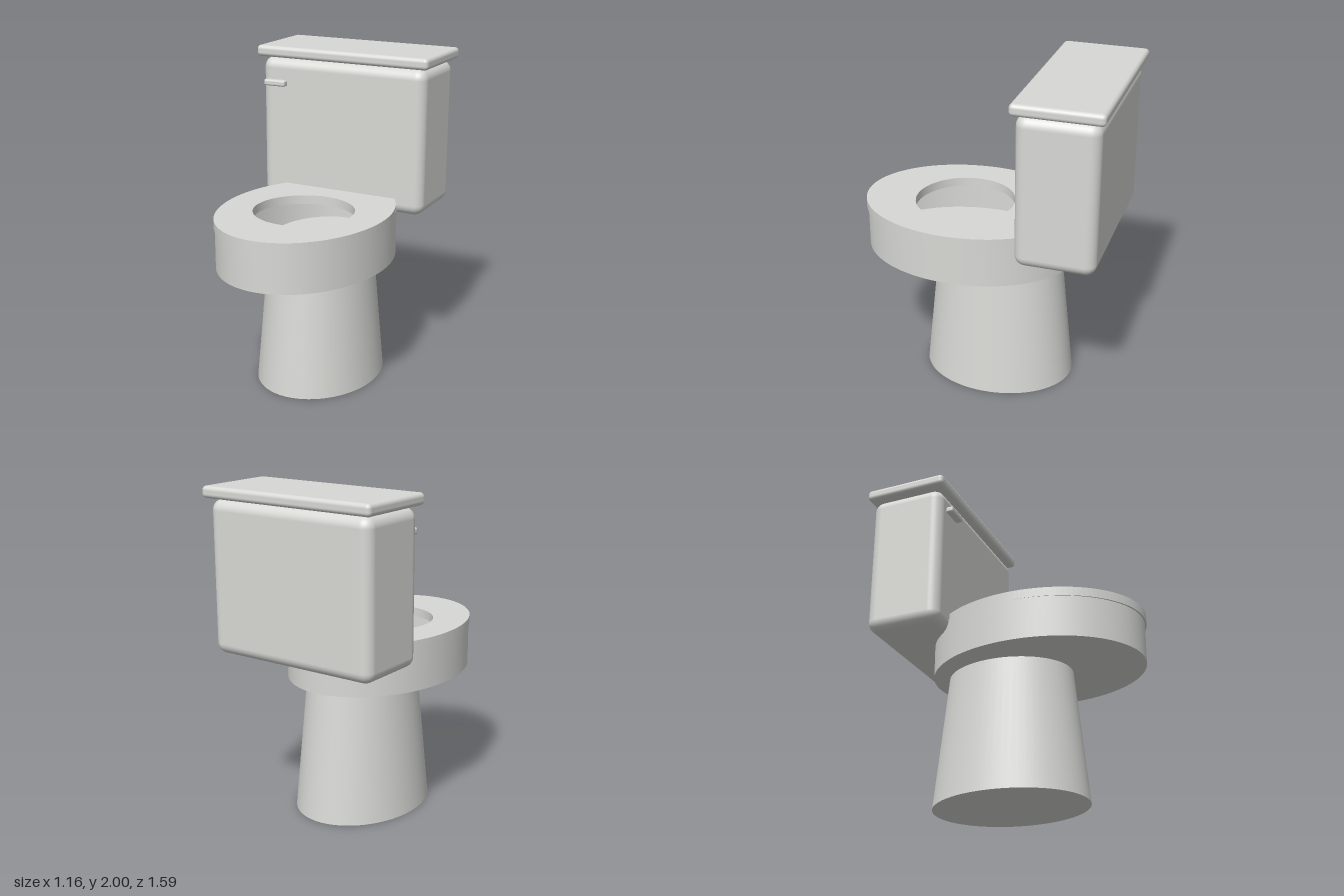
import * as THREE from 'three';
import { RoundedBoxGeometry } from 'three/addons/geometries/RoundedBoxGeometry.js';

const ceramic = new THREE.MeshStandardMaterial({ color: 0xd8d8d5 });
ceramic.name = 'ceramic';
ceramic.side = THREE.DoubleSide; // the bowl wall is an open shell

export function createModel() {
  const group = new THREE.Group();

  const add = (name, geometry, x, y, z) => {
    const mesh = new THREE.Mesh(geometry, ceramic);
    mesh.name = name;
    mesh.position.set(x, y, z);
    group.add(mesh);
    return mesh;
  };
  const roundedBox = (name, [w, h, d], radius, [x, y, z]) =>
    add(name, new RoundedBoxGeometry(w, h, d, 4, radius), x, y, z);

  // Tapered oval pedestal, its top rising a little inside the bowl
  const pedestal = new THREE.CylinderGeometry(0.302, 0.378, 0.9, 64);
  pedestal.scale(1, 1, 1.25);
  add('pedestal', pedestal, 0, 0.45, -0.05);

  // Hollow oval bowl: outer wall and flat floor
  const wall = new THREE.CylinderGeometry(0.505, 0.505, 0.27, 96, 1, true);
  wall.scale(1, 1, 1.301);
  add('bowlWall', wall, 0, 0.95, 0.13);
  const floor = new THREE.CircleGeometry(0.505, 96);
  floor.rotateX(Math.PI / 2);
  floor.scale(1, 1, 1.301);
  add('bowlFloor', floor, 0, 0.815, 0.13);

  // Oval seat ring with a round opening (shape y becomes -z)
  const outline = new THREE.Shape();
  outline.absellipse(0, -0.14, 0.505, 0.657, 0, Math.PI * 2, false);
  const opening = new THREE.Path();
  opening.absarc(0, -0.175, 0.305, 0, Math.PI * 2, true);
  outline.holes.push(opening);
  const seat = new THREE.ExtrudeGeometry(outline, {
    depth: 0.055, bevelEnabled: false, curveSegments: 64,
  });
  seat.rotateX(-Math.PI / 2);
  add('seat', seat, 0, 1.066, 0);

  // Water tank, lid and flush handle
  roundedBox('tank', [1.11, 0.905, 0.475], 0.065, [0, 1.4725, -0.53]);
  roundedBox('tankLid', [1.16, 0.07, 0.525], 0.025, [0, 1.965, -0.533]);
  roundedBox('flushHandle', [0.148, 0.038, 0.048], 0.012, [-0.432, 1.777, -0.253]);

  return group;
}
